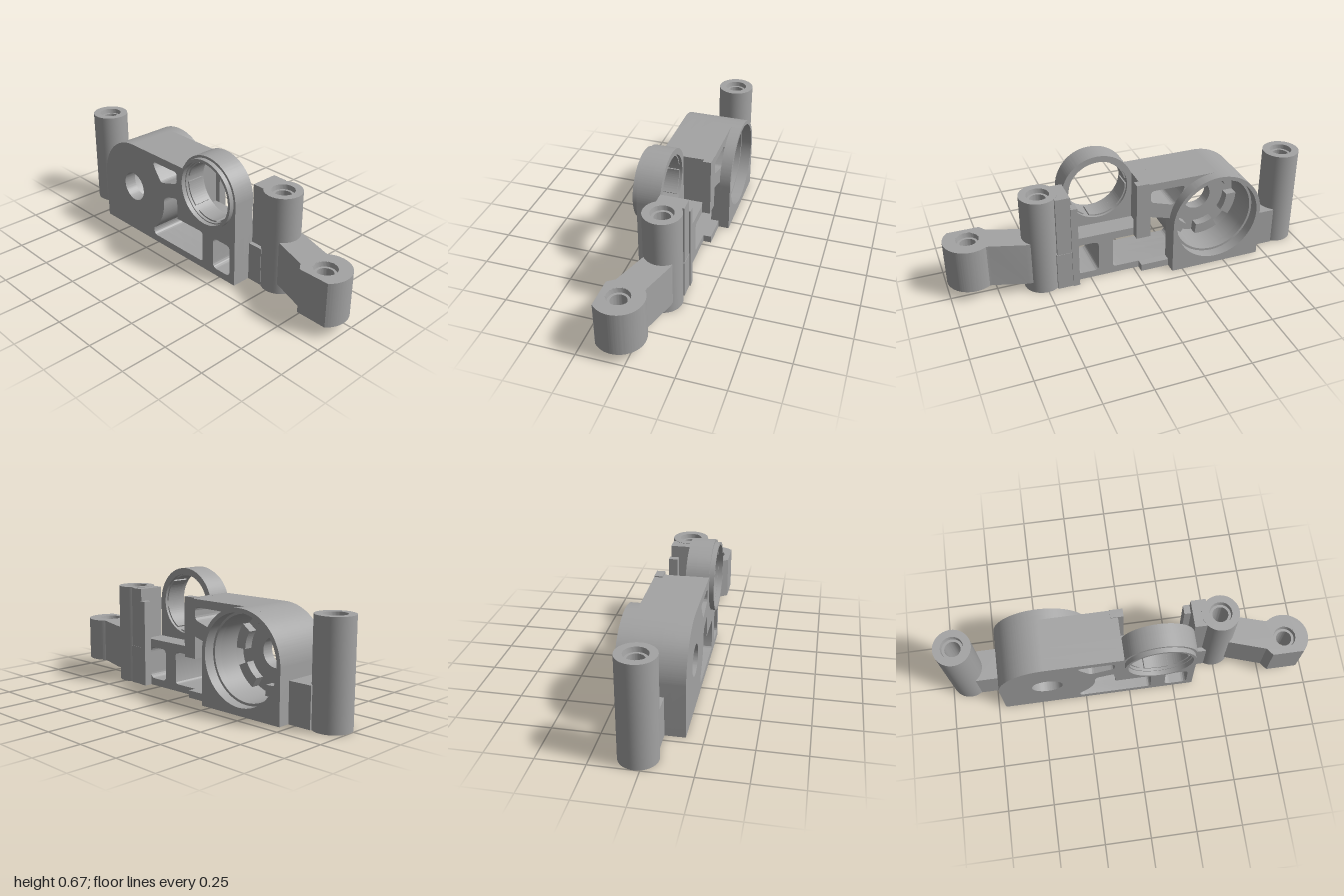
import * as THREE from 'three';
import { toCreasedNormals } from 'three/addons/utils/BufferGeometryUtils.js';

const RING = [0.16, 0.47];      // centre of the front ring
const POCKET = [-0.45, 0.28];   // centre of the rear bearing pocket

export function createModel() {
  const group = new THREE.Group();
  const metal = new THREE.MeshStandardMaterial({ color: 0xa3a3a3 });
  metal.name = 'grey metal';

  const add = (name, geometry) => {
    const mesh = new THREE.Mesh(toCreasedNormals(geometry, 0.5), metal);
    mesh.name = name;
    group.add(mesh);
    return mesh;
  };
  const extrude = (shape, depth) =>
    new THREE.ExtrudeGeometry(shape, { depth, bevelEnabled: false, curveSegments: 48 });
  // slab between two z planes
  const slab = (name, shape, z0, z1) => add(name, extrude(shape, z1 - z0).translate(0, 0, z0));
  const box = (name, x0, x1, y0, y1, z0, z1) =>
    add(name, new THREE.BoxGeometry(x1 - x0, y1 - y0, z1 - z0)
      .translate((x0 + x1) / 2, (y0 + y1) / 2, (z0 + z1) / 2));

  const circle = ([x, y], r) => new THREE.Path().absarc(x, y, r, 0, Math.PI * 2, false);
  // closed polygon with rounded corners
  const rounded = (points, radius) => {
    const path = new THREE.Path();
    const v = points.map(([x, y]) => new THREE.Vector2(x, y));
    v.forEach((p, i) => {
      const prev = v[(i + v.length - 1) % v.length], next = v[(i + 1) % v.length];
      const toward = (q) => p.clone().add(q.clone().sub(p).setLength(Math.min(radius, p.distanceTo(q) * 0.45)));
      const a = toward(prev), b = toward(next);
      if (i === 0) path.moveTo(a.x, a.y); else path.lineTo(a.x, a.y);
      path.quadraticCurveTo(p.x, p.y, b.x, b.y);
    });
    path.closePath();
    return path;
  };

  // window openings
  const triangle = () => rounded([[-0.275, 0.496], [-0.265, 0.465], [-0.21, 0.39], [-0.08, 0.43], [-0.08, 0.498]], 0.022);
  const smallWindow = () => rounded([[0.2, 0.04], [0.325, 0.04], [0.325, 0.22], [0.2, 0.22]], 0.03);
  const frontWindow = () => {
    const p = new THREE.Path();
    p.moveTo(-0.26, 0.04);
    p.lineTo(0.1, 0.04);
    p.quadraticCurveTo(0.12, 0.04, 0.12, 0.06);
    p.lineTo(0.12, 0.2);
    p.quadraticCurveTo(0.12, 0.22, 0.1, 0.22);
    p.lineTo(-0.08, 0.22);
    p.lineTo(-0.08, 0.32);
    p.quadraticCurveTo(-0.08, 0.342, -0.1, 0.337);
    p.lineTo(-0.165, 0.32);
    p.quadraticCurveTo(-0.188, 0.313, -0.19, 0.28);
    p.absarc(...POCKET, 0.26, 0, -0.86, true);
    p.quadraticCurveTo(-0.29, 0.045, -0.26, 0.04);
    return p;
  };

  // every outline ends with the round left shoulder
  const outline = (points, withRing) => {
    const s = new THREE.Shape();
    s.moveTo(-0.71, 0);
    points.forEach(([x, y]) => s.lineTo(x, y));
    if (withRing) s.absarc(...RING, 0.2, 0, Math.PI * 0.886, false);
    s.lineTo(POCKET[0], 0.54);
    s.absarc(...POCKET, 0.26, Math.PI / 2, Math.PI, false);
    s.closePath();
    return s;
  };

  // main body, in layers from front to back
  const front = outline([[0.36, 0], [0.36, 0.47]], true);
  front.holes.push(circle(POCKET, 0.083), triangle(), frontWindow(), smallWindow(), circle(RING, 0.166));
  slab('frontPlate', front, 0.09, 0.16);

  const second = outline([[0.36, 0], [0.36, 0.47]], true);
  second.holes.push(circle(POCKET, 0.225), triangle(), frontWindow(), smallWindow(), circle(RING, 0.166));
  slab('ringPlate', second, 0.035, 0.09);

  const middle = outline([[0.36, 0], [0.36, 0.265], [-0.03, 0.265], [-0.03, 0.54]]);
  middle.holes.push(circle(POCKET, 0.225), triangle(), frontWindow(), smallWindow());
  slab('middleBody', middle, -0.08, 0.035);

  const back = outline([[-0.03, 0], [-0.03, 0.04], [-0.19, 0.04], [-0.19, 0.31], [-0.08, 0.34],
    [-0.08, 0.22], [-0.03, 0.22], [-0.03, 0.54]]);
  back.holes.push(circle(POCKET, 0.225), triangle());
  slab('backBody', back, -0.125, -0.08);

  const rim = new THREE.Shape();
  rim.moveTo(-0.71, 0);
  rim.lineTo(-0.19, 0);
  rim.absarc(...POCKET, 0.26, 0, Math.PI, false);
  rim.closePath();
  rim.holes.push(circle(POCKET, 0.238));
  slab('pocketRim', rim, -0.185, -0.125);

  // ribs at both sides of the rear recess
  box('innerRib', -0.07, 0, 0.22, 0.546, -0.125, -0.08);
  box('outerRib', 0.325, 0.362, 0, 0.48, -0.125, -0.075);

  // lip of the front ring
  const lip = new THREE.Shape().absarc(...RING, 0.187, 0, Math.PI * 2, false);
  lip.holes.push(circle(RING, 0.172));
  slab('ringLip', lip, 0.16, 0.185);

  // arc pads inside the ring and on the pocket floor
  const pads = (name, count, centre, inner, outer, fill, z0, z1) => {
    for (let i = 0; i < count; i++) {
      const a = (i / count) * Math.PI * 2, b = a + (fill / count) * Math.PI * 2;
      const s = new THREE.Shape();
      s.absarc(...centre, outer, a, b, false);
      s.absarc(...centre, inner, b, a, true);
      s.closePath();
      slab(name, s, z0, z1);
    }
  };
  pads('ringPad', 6, RING, 0.158, 0.168, 0.8, 0.05, 0.145);
  pads('pocketPad', 6, POCKET, 0.165, 0.228, 0.6, 0.04, 0.095);

  // bored cylinders with countersunk ends
  const bored = (name, x, z, r, y0, y1) => {
    const profile = [[r, y0], [r, y1], [0.06, y1], [0.056, y1 - 0.025], [0.042, y1 - 0.025],
      [0.042, y0 + 0.025], [0.056, y0 + 0.025], [0.06, y0], [r, y0]];
    add(name, new THREE.LatheGeometry(profile.map((p) => new THREE.Vector2(...p)), 48).translate(x, 0, z));
  };
  bored('rightPost', -0.9, -0.028, 0.1, 0, 0.55);
  bored('leftPost', 0.505, -0.028, 0.1, 0, 0.55);
  bored('lugBushing', 0.87, 0.065, 0.075, 0.0605, 0.3045);

  // webs joining the posts to the body
  box('rightWeb', -0.84, -0.7, 0, 0.215, -0.118, 0.055);
  box('leftWebLower', 0.35, 0.445, 0, 0.215, -0.12, 0.055);
  box('leftWebUpper', 0.36, 0.44, 0.2, 0.548, -0.118, 0.032);

  // side arm with its lug, drawn in plan
  const arm = new THREE.Shape();
  arm.moveTo(0.55, -0.05);
  arm.lineTo(0.76, -0.12);
  arm.lineTo(0.79, -0.16);
  arm.lineTo(0.96, -0.16);
  arm.absarc(0.87, -0.065, 0.13, -0.81, 2.2, false);
  arm.lineTo(0.78, 0.042);
  arm.lineTo(0.6, 0.097);
  arm.lineTo(0.57, 0.1);
  arm.closePath();
  arm.holes.push(circle([0.87, -0.065], 0.062));
  add('sideArm', extrude(arm, 0.245).rotateX(-Math.PI / 2).translate(0, 0.06, 0));

  return group;
}
